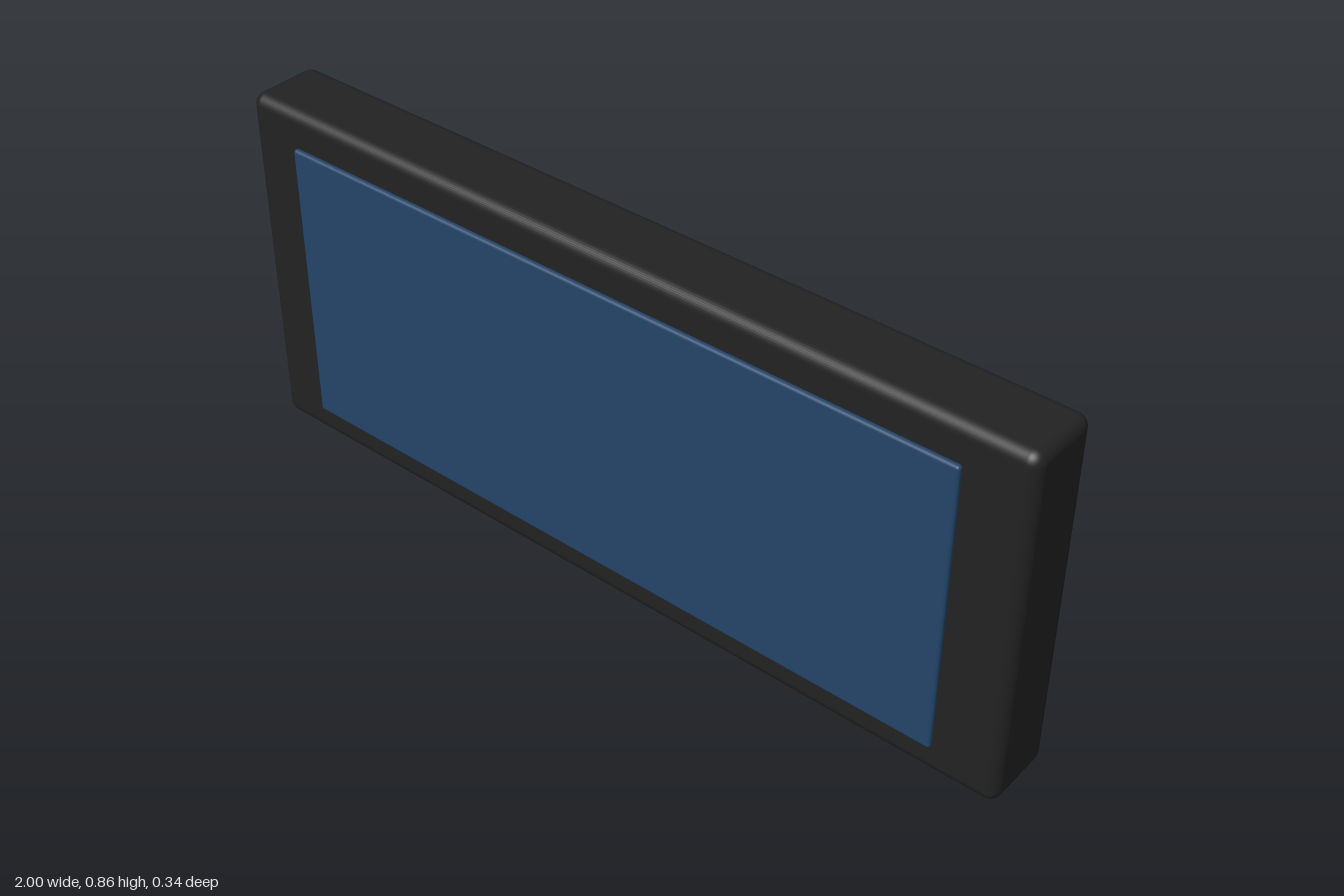
import * as THREE from 'three';
import { RoundedBoxGeometry } from 'three/addons/geometries/RoundedBoxGeometry.js';

export function createModel() {
  const model = new THREE.Group();
  model.name = 'wallDisplay';

  const material = (name, color) => {
    const m = new THREE.MeshStandardMaterial({ color });
    m.name = name;
    return m;
  };
  const casingBlack = material('casingBlack', 0x222222);
  const screenBlue = material('screenBlue', 0x234468);
  const bracketGrey = material('bracketGrey', 0x7f8c93);

  const add = (name, geometry, mat, x, y, z) => {
    const mesh = new THREE.Mesh(geometry, mat);
    mesh.name = name;
    mesh.position.set(x, y, z);
    model.add(mesh);
  };

  // Casing with softly rounded edges
  add('casing', new RoundedBoxGeometry(2, 0.86, 0.18, 4, 0.028), casingBlack, 0, 0.43, 0.065);

  // Screen panel floating just in front of the casing
  add('screen', new RoundedBoxGeometry(1.71, 0.7, 0.016, 3, 0.0075), screenBlue, 0, 0.43, 0.165);

  // Mounting brackets, sunk slightly into the back
  for (const [name, side] of [['leftBracket', 1], ['rightBracket', -1]]) {
    add(name, new THREE.BoxGeometry(0.1, 0.4, 0.16), bracketGrey, side * 0.78, 0.43, -0.092);
  }

  return model;
}
